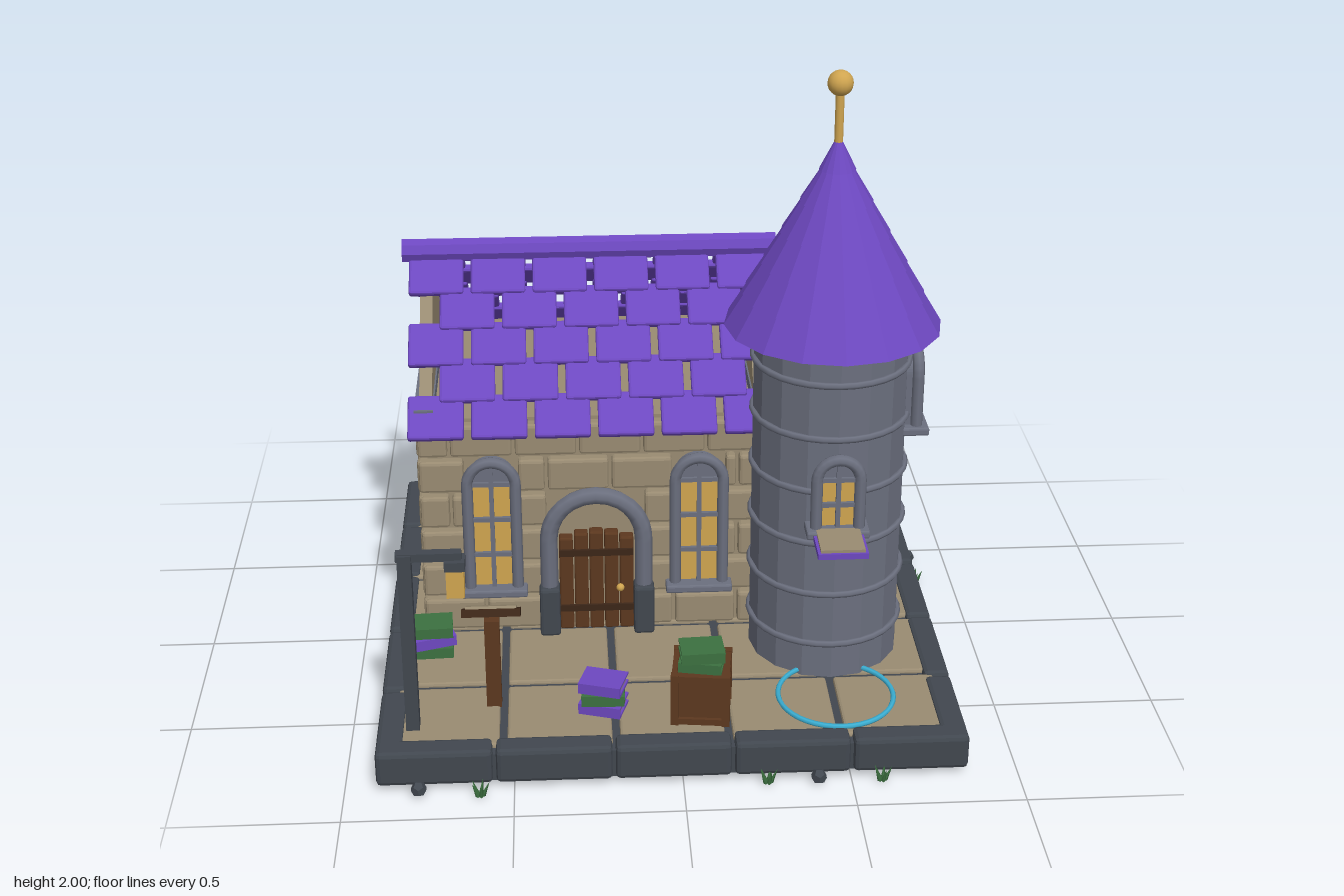
import * as THREE from 'three';
import { RoundedBoxGeometry } from 'three/addons/geometries/RoundedBoxGeometry.js';

const M = {};
const colours = {
  purple: 0x6d48c0, stone: 0x6b6f7e, slate: 0x41474f, tan: 0x998b72, gold: 0xd0a550,
  wood: 0x5c381f, green: 0x3c7040, lilac: 0x9a86cc, cyan: 0x3cb0d4, ironwood: 0x3c2618,
};
for (const [name, color] of Object.entries(colours)) {
  M[name] = new THREE.MeshStandardMaterial({ color });
  M[name].name = name;
}
M.purple.side = THREE.DoubleSide;
M.green.side = THREE.DoubleSide;

const flat = (g) => {
  const f = g.index ? g.toNonIndexed() : g;
  f.computeVertexNormals();
  return f;
};
const add = (parent, name, geo, mat, x = 0, y = 0, z = 0) => {
  const m = new THREE.Mesh(geo, mat);
  m.name = name;
  m.position.set(x, y, z);
  parent.add(m);
  return m;
};
const group = (parent, name, x = 0, y = 0, z = 0, ry = 0) => {
  const g = new THREE.Group();
  g.name = name;
  g.position.set(x, y, z);
  g.rotation.y = ry;
  parent.add(g);
  return g;
};
const box = (p, name, mat, w, h, d, x, y, z) => add(p, name, new THREE.BoxGeometry(w, h, d), mat, x, y, z);
const stone = (p, name, mat, w, h, d, x, y, z, r = 0.01) =>
  add(p, name, flat(new RoundedBoxGeometry(w, h, d, 1, r)), mat, x, y, z);
const rod = (p, name, mat, r, h, x, y, z, n = 10) =>
  add(p, name, new THREE.CylinderGeometry(r, r, h, n), mat, x, y, z);

// Upside-down U outline: half width r, from y0 up to the spring line, then a half circle
function archTube(r, y0, spring, tube) {
  const path = new THREE.CurvePath();
  const v = (x, y) => new THREE.Vector3(x, y, 0);
  const pts = [];
  for (let i = 0; i <= 12; i++) pts.push(v(-r * Math.cos(i * Math.PI / 12), spring + r * Math.sin(i * Math.PI / 12)));
  const all = [v(-r, y0), ...pts, v(r, y0)];
  for (let i = 1; i < all.length; i++) path.add(new THREE.LineCurve3(all[i - 1], all[i]));
  return new THREE.TubeGeometry(path, 60, tube, 8);
}
function archPanel(r, y0, spring, depth) {
  const s = new THREE.Shape();
  s.moveTo(-r, y0).lineTo(r, y0).lineTo(r, spring).absarc(0, spring, r, 0, Math.PI).lineTo(-r, y0);
  return new THREE.ExtrudeGeometry(s, { depth, bevelEnabled: false, curveSegments: 12 });
}

// Arched window facing +z, its wall plane at z = 0
function archWindow(parent, name, x, y, z, ry, r, h, rows) {
  const g = group(parent, name, x, y, z, ry);
  add(g, 'windowBack', archPanel(r, 0, h, 0.045), M.stone, 0, 0, -0.04);
  add(g, 'windowGlass', archPanel(r * 0.85, 0.01, h, 0.006), M.gold, 0, 0, 0.005);
  add(g, 'windowHood', archPanel(r * 0.85, h, h + 0.001, 0.006), M.stone, 0, 0, 0.007);
  add(g, 'windowFrame', archTube(r, 0, h, 0.018), M.stone, 0, 0, 0.018);
  box(g, 'mullion', M.stone, 0.014, h + r, 0.014, 0, (h + r) / 2, 0.016);
  for (let i = 1; i <= rows; i++) box(g, 'glazingBar', M.stone, 2 * r, 0.014, 0.014, 0, h * i / rows, 0.016);
  stone(g, 'windowSill', M.stone, 2 * r + 0.06, 0.026, 0.085, 0, -0.005, 0.012, 0.006);
}

// Staggered bricks along a wall facing +z; openings are [centre, halfWidth, bottom, top]
function brickWall(parent, name, half, x, z, ry, openings) {
  const g = group(parent, name, x, 0.13, z, ry);
  for (let row = 0; row < 6; row++) {
    const y = 0.06 + row * 0.123, pitch = 0.2;
    for (let a = -half - (row % 2 ? 0.1 : 0); a < half - 0.01; a += pitch) {
      let parts = [[Math.max(a, -half), Math.min(a + pitch, half)]];
      for (const [c, w, b, t] of openings) {
        if (y + 0.13 < b || y + 0.13 > t) continue;
        parts = parts.flatMap(([p, q]) => [[p, Math.min(q, c - w)], [Math.max(p, c + w), q]]);
      }
      for (const [p, q] of parts)
        if (q - p > 0.035) stone(g, 'brick', M.tan, q - p - 0.01, 0.106, 0.055, (p + q) / 2, y, -0.0275);
    }
  }
}

function bookStack(parent, x, y, z, ry, mats) {
  const g = group(parent, 'bookStack', x, y, z, ry);
  mats.forEach((mat, i) => {
    const b = group(g, 'book', 0, i * 0.036, 0, (i % 2) * 0.25 - 0.1);
    box(b, 'bookCover', mat, 0.13, 0.008, 0.1, 0, 0.004, 0);
    box(b, 'bookPages', M.tan, 0.118, 0.02, 0.09, 0, 0.018, 0);
    box(b, 'bookCover', mat, 0.13, 0.008, 0.1, 0, 0.031, 0);
    box(b, 'bookSpine', mat, 0.13, 0.03, 0.008, 0, 0.017, 0.046);
  });
}

function buildBase(root) {
  const g = group(root, 'base', -0.028, 0, -0.012);
  box(g, 'slab', M.slate, 1.72, 0.09, 1.72, 0, 0.066, 0);
  for (let i = 0; i < 5; i++) {
    const t = (i - 2) * 0.335;
    for (let j = 0; j < 5; j++) stone(g, 'floorTile', M.tan, 0.312, 0.04, 0.312, t, 0.104, (j - 2) * 0.335, 0.008);
    const b = (i - 2) * 0.353;
    for (const s of [-1, 1]) {
      stone(g, 'kerbBlock', M.slate, 0.343, 0.112, 0.08, b, 0.076, s * 0.838, 0.014);
      stone(g, 'kerbBlock', M.slate, 0.08, 0.112, 0.343, s * 0.838, 0.076, b, 0.014);
    }
  }
  for (const [x, z] of [[-0.69, -0.9], [0.87, -0.415], [-0.78, 0.885], [0.4, 0.885]])
    add(root, 'rock', flat(new THREE.DodecahedronGeometry(0.024)), M.slate, x, 0.024, z);
  for (const [x, z] of [[-0.11, -0.9], [0.87, -0.27], [-0.6, 0.895], [0.25, 0.875], [0.59, 0.88]])
    for (let i = 0; i < 5; i++) {
      const blade = add(root, 'grassBlade', new THREE.ConeGeometry(0.008, 0.05, 4), M.green,
        x + 0.018 * Math.cos(i * 1.257), 0.025, z + 0.012 * Math.sin(i * 1.257));
      blade.rotation.set(0.3 * Math.sin(i * 1.257), 0, -0.4 * Math.cos(i * 1.257));
    }
}

function buildHouse(root) {
  const g = group(root, 'house', -0.237, 0, -0.25);
  box(g, 'wallCore', M.tan, 1.04, 0.74, 0.79, 0, 0.5, 0);
  brickWall(g, 'frontWall', 0.553, 0, 0.43, 0, [[0, 0.15, 0, 0.57], [-0.325, 0.08, 0.29, 0.72], [0.325, 0.08, 0.29, 0.72]]);
  brickWall(g, 'backWall', 0.553, 0, -0.43, Math.PI, []);
  brickWall(g, 'leftSideWall', 0.425, 0.553, 0, Math.PI / 2, [[-0.19, 0.08, 0.29, 0.72], [0.16, 0.08, 0.29, 0.72]]);
  brickWall(g, 'rightSideWall', 0.425, -0.553, 0, -Math.PI / 2, []);
  for (const x of [-0.325, 0.325]) archWindow(g, 'frontWindow', x, 0.295, 0.428, 0, 0.075, 0.37, 3);
  for (const z of [0.19, -0.16]) archWindow(g, 'sideWindow', 0.551, 0.295, z, Math.PI / 2, 0.075, 0.37, 3);

  // Gables with a stone beam beneath
  const tri = new THREE.Shape([[-0.41, 0], [0.41, 0], [0, 0.37]].map(([a, b]) => new THREE.Vector2(a, b)));
  for (const s of [-1, 1]) {
    const e = group(g, 'gable', s * 0.5, 0.87, 0, s * Math.PI / 2);
    add(e, 'gablePanel', new THREE.ExtrudeGeometry(tri, { depth: 0.04, bevelEnabled: false }), M.tan);
    box(e, 'gableBeam', M.stone, 0.84, 0.04, 0.06, 0, 0.02, 0.025);
  }

  // Roof: five staggered rows of shingles on each slope
  for (const side of [0, 1]) {
    const turn = group(g, 'roofSlope', 0, 1.265, 0, side * Math.PI);
    const slope = group(turn, 'shingles');
    slope.rotation.x = 0.74;
    for (let row = 0; row < 5; row++) {
      const n = row % 2 ? 5 : 6;
      for (let i = 0; i < n; i++) {
        const t = stone(slope, 'shingle', M.purple, 0.172, 0.026, 0.15, (i - (n - 1) / 2) * 0.195, 0.004, 0.075 + row * 0.123, 0.008);
        t.rotation.x = -0.08;
      }
    }
  }
  const ridge = add(g, 'roofRidge', flat(new THREE.CylinderGeometry(0.039, 0.039, 1.19, 8)), M.purple, 0, 1.278, 0);
  ridge.rotation.z = Math.PI / 2;

  // Arched doorway with plank door
  const d = group(g, 'doorway', 0, 0.13, 0.43);
  add(d, 'doorArch', archTube(0.15, 0, 0.335, 0.028), M.stone, 0, 0, 0.01);
  for (const s of [-1, 1]) stone(d, 'archFoot', M.slate, 0.065, 0.17, 0.07, s * 0.15, 0.085, 0.015);
  [0.33, 0.345, 0.35, 0.345, 0.33].forEach((h, i) =>
    stone(d, 'doorPlank', M.wood, 0.044, h, 0.04, (i - 2) * 0.048, h / 2, -0.015, 0.006));
  for (const y of [0.08, 0.28]) box(d, 'doorBand', M.ironwood, 0.235, 0.022, 0.01, 0, y, 0.008);
  add(d, 'doorKnob', new THREE.SphereGeometry(0.013, 10, 8), M.gold, 0.075, 0.155, 0.016);
}

function buildTower(root) {
  const g = group(root, 'tower', 0.48, 0, 0.265);
  add(g, 'towerWall', flat(new THREE.CylinderGeometry(0.235, 0.235, 1.11, 16)), M.stone, 0, 0.675, 0);
  for (let i = 0; i < 6; i++) {
    const ring = add(g, 'towerCourse', new THREE.TorusGeometry(0.235, 0.011, 6, 32), M.stone, 0, 0.24 + i * 0.175, 0);
    ring.rotation.x = Math.PI / 2;
  }
  // Cone roof in slightly overlapping tiers
  const tiers = 6, H = 0.58;
  for (let i = 0; i < tiers; i++) {
    const r0 = 0.327 * (1 - i / tiers), r1 = Math.max(0.006, 0.327 * (1 - (i + 1) / tiers) - 0.004);
    add(g, 'coneTier', flat(new THREE.CylinderGeometry(r1, r0, H / tiers, 16)), M.purple, 0, 1.22 + H * (i + 0.5) / tiers, 0);
  }
  rod(g, 'finialRod', M.gold, 0.013, 0.18, 0, 1.85, 0);
  add(g, 'finialBall', new THREE.SphereGeometry(0.038, 16, 12), M.gold, 0, 1.962, 0);
  archWindow(g, 'towerFrontWindow', 0, 0.655, 0.24, 0, 0.065, 0.165, 2);
  archWindow(g, 'towerSideWindow', 0.24, 0.895, 0, Math.PI / 2, 0.065, 0.175, 2);

  // Floating open book and the glowing ring on the ground below it
  const b = group(g, 'floatingBook', 0, 0.645, 0.335);
  box(b, 'bookCover', M.purple, 0.15, 0.018, 0.15, 0, 0, 0);
  box(b, 'bookPages', M.tan, 0.132, 0.01, 0.135, 0, 0.013, 0);
  const ring = add(g, 'glowRing', new THREE.TorusGeometry(0.176, 0.008, 6, 40), M.cyan, 0, 0.133, 0.35);
  ring.rotation.x = Math.PI / 2;
}

function buildYard(root) {
  // Lamp post
  const lamp = group(root, 'lampPost', -0.8, 0, 0.71);
  box(lamp, 'post', M.slate, 0.04, 0.59, 0.045, 0, 0.42, 0);
  box(lamp, 'arm', M.slate, 0.19, 0.026, 0.03, 0.07, 0.705, 0);
  box(lamp, 'lanternCap', M.slate, 0.06, 0.03, 0.06, 0.145, 0.68, 0);
  box(lamp, 'lanternGlass', M.gold, 0.052, 0.09, 0.055, 0.145, 0.622, 0);

  // Reading stand, its top sloping down towards the house
  const stand = group(root, 'readingStand', -0.56, 0, 0.59);
  box(stand, 'standPost', M.wood, 0.045, 0.3, 0.045, 0, 0.27, 0);
  const top = group(stand, 'standTop', 0, 0.44, 0);
  top.rotation.x = -0.5;
  box(top, 'standBoard', M.ironwood, 0.175, 0.024, 0.125, 0, 0, 0);
  box(top, 'openPages', M.tan, 0.15, 0.01, 0.105, 0, 0.015, 0);

  // Crate with corner posts, and book stacks
  const crate = group(root, 'crate', 0.065, 0.13, 0.675, -0.12);
  box(crate, 'crateBody', M.wood, 0.15, 0.155, 0.15, 0, 0.08, 0);
  for (const x of [-1, 1]) {
    for (const z of [-1, 1]) box(crate, 'cratePost', M.wood, 0.024, 0.17, 0.024, x * 0.076, 0.085, z * 0.076);
    for (const y of [0.012, 0.158]) {
      box(crate, 'crateRail', M.wood, 0.15, 0.02, 0.016, 0, y, x * 0.078);
      box(crate, 'crateRail', M.wood, 0.016, 0.02, 0.15, x * 0.078, y, 0);
    }
  }
  bookStack(root, 0.065, 0.285, 0.675, -0.1, [M.green, M.green]);
  bookStack(root, -0.23, 0.125, 0.64, -0.2, [M.purple, M.green, M.purple]);
  bookStack(root, -0.76, 0.125, 0.285, 0.15, [M.green, M.purple, M.green]);

  // Banner on a pole
  const ban = group(root, 'banner', -0.8, 0, -0.75);
  rod(ban, 'bannerPole', M.wood, 0.012, 0.83, 0, 0.54, 0);
  add(ban, 'bannerBall', new THREE.SphereGeometry(0.029, 14, 10), M.gold, 0, 0.973, 0);
  rod(ban, 'bannerBar', M.wood, 0.009, 0.25, 0.125, 0.925, 0).rotation.z = Math.PI / 2;
  const cloth = new THREE.Shape([[0.04, 0.925], [0.04, 0.53], [0.125, 0.58], [0.21, 0.53], [0.21, 0.925]]
    .map(([x, y]) => new THREE.Vector2(x, y)));
  add(ban, 'bannerCloth', new THREE.ExtrudeGeometry(cloth, { depth: 0.012, bevelEnabled: false }), M.purple, 0, 0, -0.006);

  // Crystal cluster: one tall shard ringed by leaning ones
  const cry = group(root, 'crystals', 0.715, 0.12, -0.725);
  const shard = (h, r, yaw, lean) => {
    const turn = group(cry, 'shard', 0, 0, 0, yaw);
    const prof = [[0.001, 0], [r * 0.75, 0], [r, h * 0.6], [0.001, h]].map(([a, b]) => new THREE.Vector2(a, b));
    const m = add(turn, 'crystal', flat(new THREE.LatheGeometry(prof, 6)), M.lilac, 0.02 * Math.sign(lean), 0, 0);
    m.rotation.z = -lean;
  };
  shard(0.225, 0.034, 0, 0);
  [0.14, 0.13, 0.15, 0.13, 0.14].forEach((h, i) => shard(h, 0.023, 0.6 + i * 1.257, 0.55));
}

export function createModel() {
  const root = new THREE.Group();
  root.name = 'cottageWithTower';
  buildBase(root);
  buildHouse(root);
  buildTower(root);
  buildYard(root);
  return root;
}
